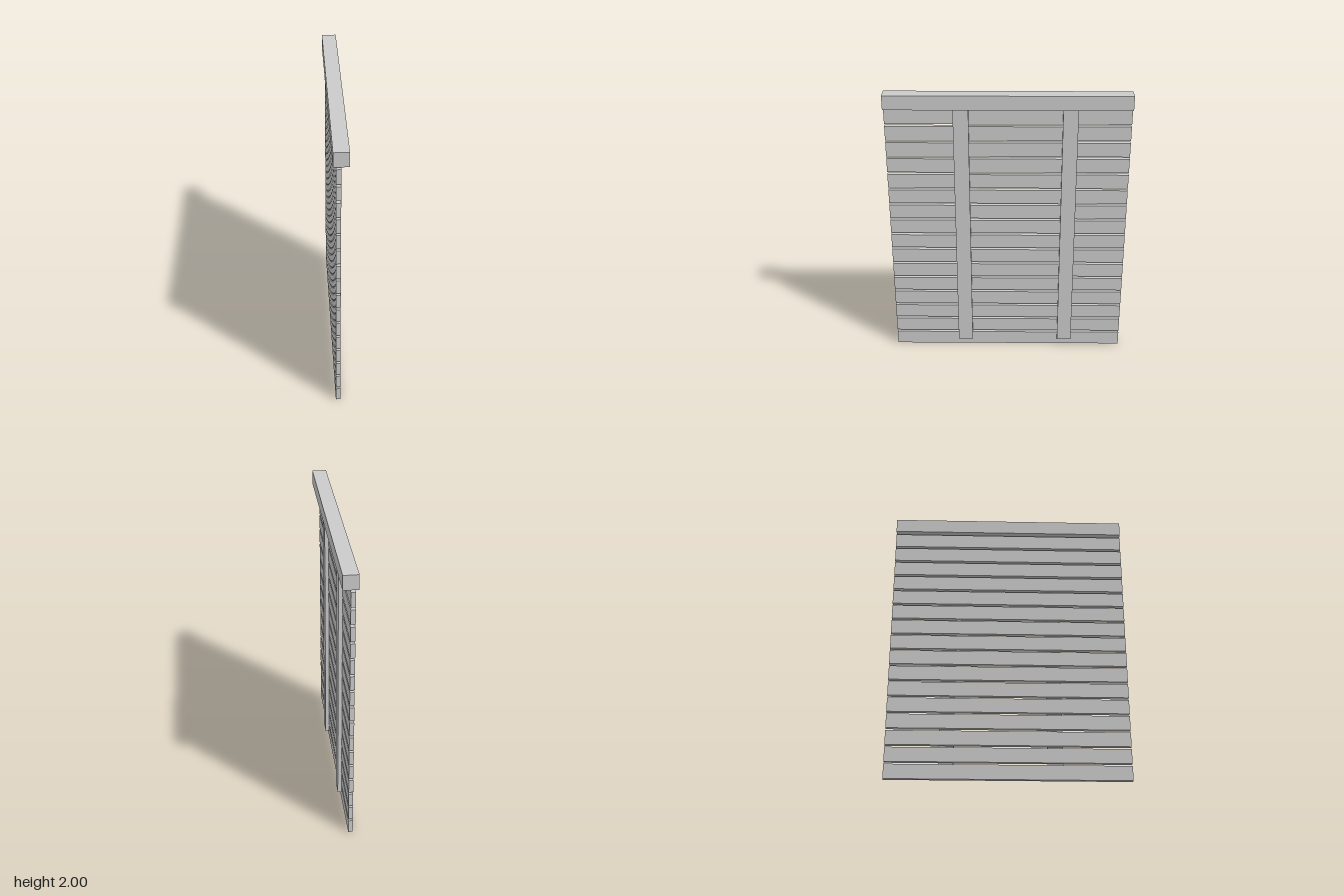
import * as THREE from 'three';

const material = new THREE.MeshStandardMaterial({ color: 0xcccccc, flatShading: true });

// Box given by its [min, max] range on each axis
function addBox(parent, name, [x0, x1], [y0, y1], [z0, z1]) {
  const mesh = new THREE.Mesh(new THREE.BoxGeometry(x1 - x0, y1 - y0, z1 - z0), material);
  mesh.position.set((x0 + x1) / 2, (y0 + y1) / 2, (z0 + z1) / 2);
  mesh.name = name;
  parent.add(mesh);
}

export function createModel() {
  const blind = new THREE.Group();
  blind.name = 'slattedBlind';
  const width = [-0.835, 0.835];

  // Head rail across the top
  addBox(blind, 'headRail', [-0.05, 0.05], [1.9, 2], width);

  // Evenly spaced horizontal slats
  const slats = new THREE.Group();
  slats.name = 'slats';
  blind.add(slats);
  const count = 16, pitch = 0.1188, height = 0.102;
  for (let i = 0; i < count; i++) {
    addBox(slats, `slat${i + 1}`, [-0.031, 0], [i * pitch, i * pitch + height], width);
  }

  // Two vertical tapes on the +x face, hanging from the rail
  addBox(blind, 'frontTape', [-0.003, 0.027], [0.055, 1.9], [0.265, 0.37]);
  addBox(blind, 'backTape', [-0.003, 0.027], [0.055, 1.9], [-0.473, -0.37]);

  return blind;
}
